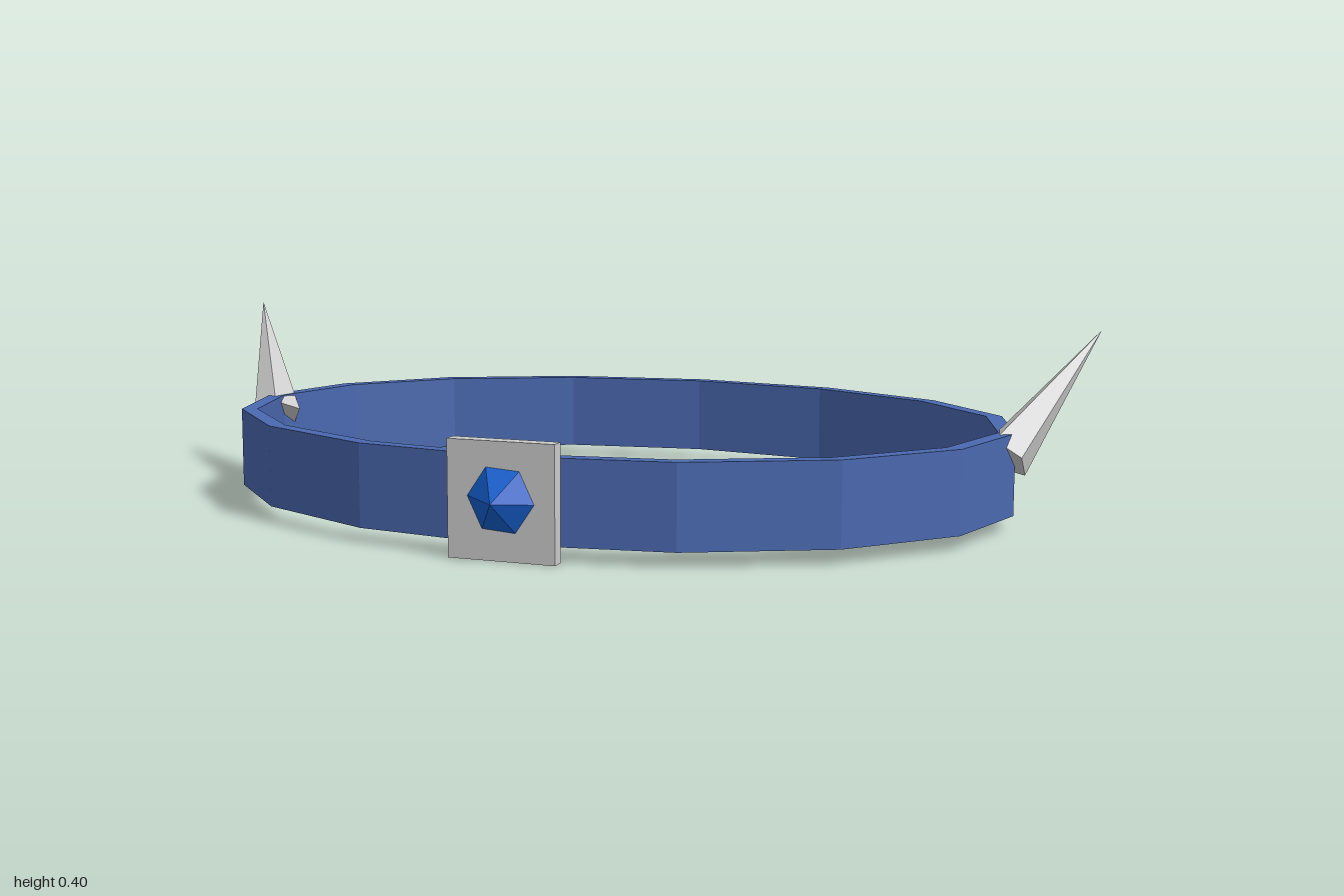
import * as THREE from 'three';

const mat = (color) => new THREE.MeshStandardMaterial({ color, flatShading: true });

function ellipsePoints(rx, rz, sides) {
  return Array.from({ length: sides }, (_, i) => {
    const a = (i / sides) * Math.PI * 2;
    return new THREE.Vector2(Math.cos(a) * rx, Math.sin(a) * rz);
  });
}

export function createModel() {
  const group = new THREE.Group();
  const blue = mat(0x4a69b0);
  const grey = mat(0xcccccc);
  const gemBlue = mat(0x1560d0);

  const add = (name, geometry, material) => {
    const mesh = new THREE.Mesh(geometry, material);
    mesh.name = name;
    group.add(mesh);
    return mesh;
  };

  // Sixteen-sided oval band
  const outline = new THREE.Shape(ellipsePoints(0.86, 0.617, 16));
  outline.holes.push(new THREE.Path(ellipsePoints(0.825, 0.585, 16).reverse()));
  const bandGeo = new THREE.ExtrudeGeometry(outline, { depth: 0.17, bevelEnabled: false });
  bandGeo.rotateX(-Math.PI / 2);
  add('band', bandGeo, blue).position.set(0, 0.03, -0.03);

  // Front plate with a six-sided pointed gem
  add('frontPlate', new THREE.BoxGeometry(0.22, 0.23, 0.03), grey).position.set(0, 0.115, 0.585);
  const gemGeo = new THREE.ConeGeometry(0.07, 0.05, 6);
  gemGeo.rotateY(0.45).rotateX(Math.PI / 2);
  add('gem', gemGeo, gemBlue).position.set(0, 0.118, 0.624);

  // Five-sided spikes on both sides, swept out, up and back
  for (const side of [1, -1]) {
    const base = new THREE.Vector3(side * 0.84, 0.15, -0.024);
    const tip = new THREE.Vector3(side, 0.395, -0.242);
    const axis = tip.clone().sub(base);
    const length = axis.length();
    axis.normalize();
    // One base corner points in through the band
    const inward = new THREE.Vector3(-side * 0.887, 0.33, -0.307);
    inward.addScaledVector(axis, -inward.dot(axis)).normalize();
    const across = new THREE.Vector3().crossVectors(axis, inward);

    const geo = new THREE.ConeGeometry(0.055, length, 5);
    geo.translate(0, length / 2, 0);
    const spike = add(side > 0 ? 'leftSpike' : 'rightSpike', geo, grey);
    spike.quaternion.setFromRotationMatrix(new THREE.Matrix4().makeBasis(across, axis, inward));
    spike.position.copy(base);
  }

  return group;
}
